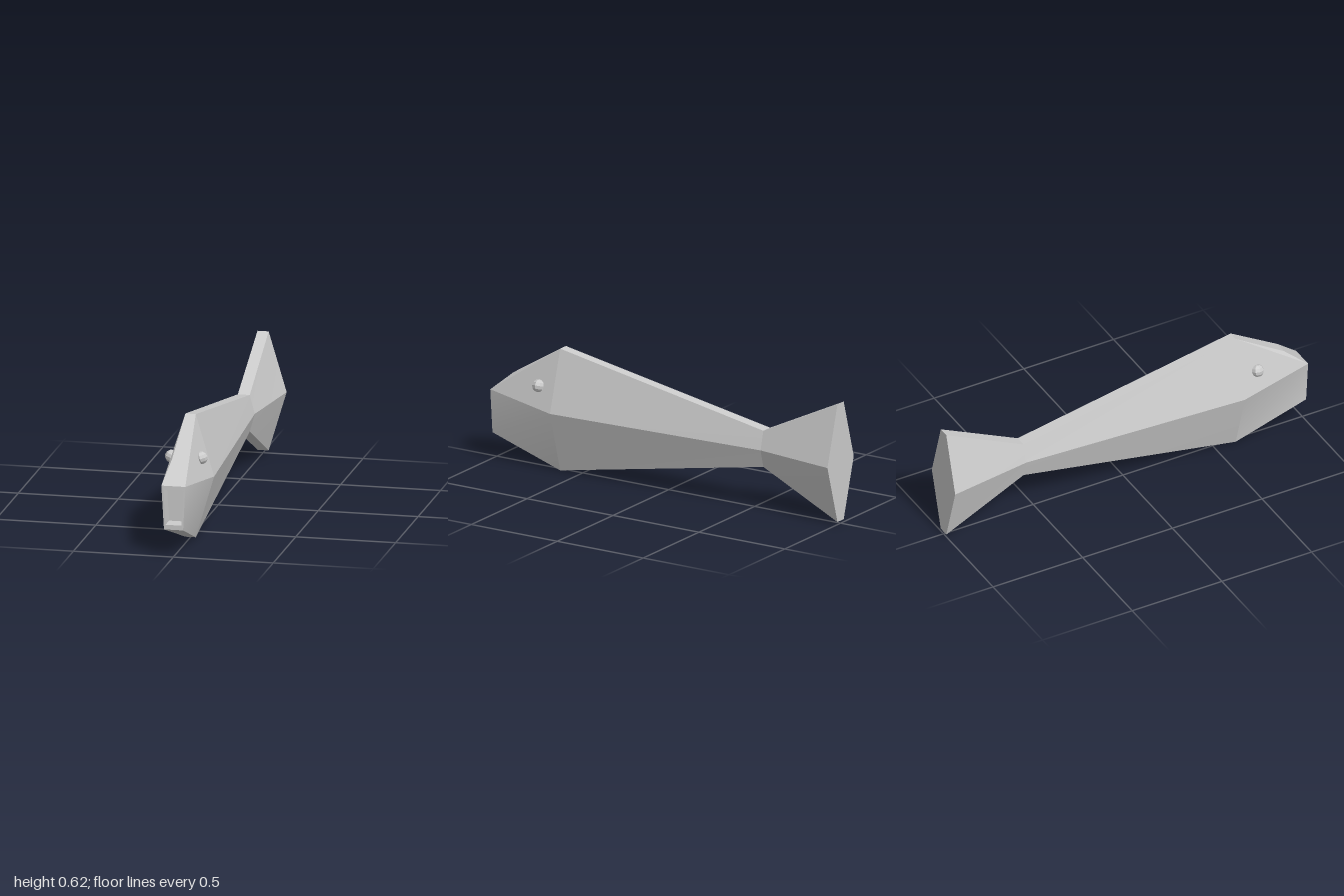
import * as THREE from 'three';

const skin = new THREE.MeshStandardMaterial({ color: 0xcccccc });
const faceted = new THREE.MeshStandardMaterial({ color: 0xcccccc, flatShading: true });

// Builds a mesh from polygons (counter-clockwise outside). Each polygon keeps its own
// corners, so edges between polygons stay sharp and twisted quads shade evenly.
function polyMesh(name, polygons) {
  const pos = [], index = [];
  for (const p of polygons) {
    const start = pos.length / 3;
    pos.push(...p.flat());
    for (let i = 1; i < p.length - 1; i++) index.push(start, start + i, start + i + 1);
  }
  const geometry = new THREE.BufferGeometry();
  geometry.setAttribute('position', new THREE.Float32BufferAttribute(pos, 3));
  geometry.setIndex(index);
  geometry.computeVertexNormals();
  const mesh = new THREE.Mesh(geometry, skin);
  mesh.name = name;
  return mesh;
}

const mirror = ([x, y, z]) => [-x, y, z];
// Adds the mirrored copy of each polygon, keeping it facing outward.
const bothSides = (polys) => [...polys, ...polys.map((p) => p.map(mirror).reverse())];
// Closes a strip across the centre line; a and b are +x corners.
const across = (a, b) => [a, b, mirror(b), mirror(a)];

// Six-sided cross-section, counter-clockwise seen from the front.
function section(z, top, bottom, edge, side) {
  const mid = 0.313;
  return [[edge, top, z], [-edge, top, z], [-side, mid, z], [-edge, bottom, z], [edge, bottom, z], [side, mid, z]];
}

// Joins two cross-sections with outward-facing quads.
function loft(front, back) {
  return front.map((p, i) => {
    const j = (i + 1) % front.length;
    return [p, back[i], back[j], front[j]];
  });
}

export function createModel() {
  const group = new THREE.Group();
  group.name = 'fish';

  const shoulder = section(0.615, 0.623, 0, 0.026, 0.118);
  const tailRoot = section(-0.57, 0.407, 0.222, 0.03, 0.055);
  const tailEnd = section(-1, 0.615, 0.013, 0.028, 0.118);

  // Body and tail
  group.add(polyMesh('body', loft(shoulder, tailRoot)));
  group.add(polyMesh('tail', [...loft(tailRoot, tailEnd), [...tailEnd].reverse()]));

  // Head: cheeks, sloping brow and chin
  const top = shoulder[0], bottom = shoulder[4], side = shoulder[5];
  const brow = [0.034, 0.46, 0.88];
  const lipTop = [0.06, 0.358, 1], lipBottom = [0.048, 0.136, 0.995];
  group.add(polyMesh('head', [
    ...bothSides([
      [top, brow, lipTop],
      [top, lipTop, side],
      [side, lipTop, lipBottom, bottom],
    ]),
    across(brow, top),
    across(lipTop, brow),
    across(bottom, lipBottom),
  ]));

  // Mouth: flat lip frame around a recess
  const innerTop = [0.05, 0.338, 1], innerBottom = [0.04, 0.16, 0.996];
  const deep = ([x, y, z]) => [x, y, z - 0.08];
  const backTop = deep(innerTop), backBottom = deep(innerBottom);
  group.add(polyMesh('mouth', [
    ...bothSides([
      [lipTop, innerTop, innerBottom, lipBottom],
      [innerTop, backTop, backBottom, innerBottom],
    ]),
    across(innerTop, lipTop),
    across(lipBottom, innerBottom),
    across(backTop, innerTop),
    across(innerBottom, backBottom),
    across(backBottom, backTop),
  ]));

  // Eyes, leaning in with the slope of the head
  for (const s of [1, -1]) {
    const eye = new THREE.Mesh(new THREE.SphereGeometry(0.032, 8, 6), faceted);
    eye.name = s > 0 ? 'leftEye' : 'rightEye';
    eye.position.set(s * 0.075, 0.43, 0.71);
    eye.rotation.z = s * 0.3;
    group.add(eye);
  }
  return group;
}
